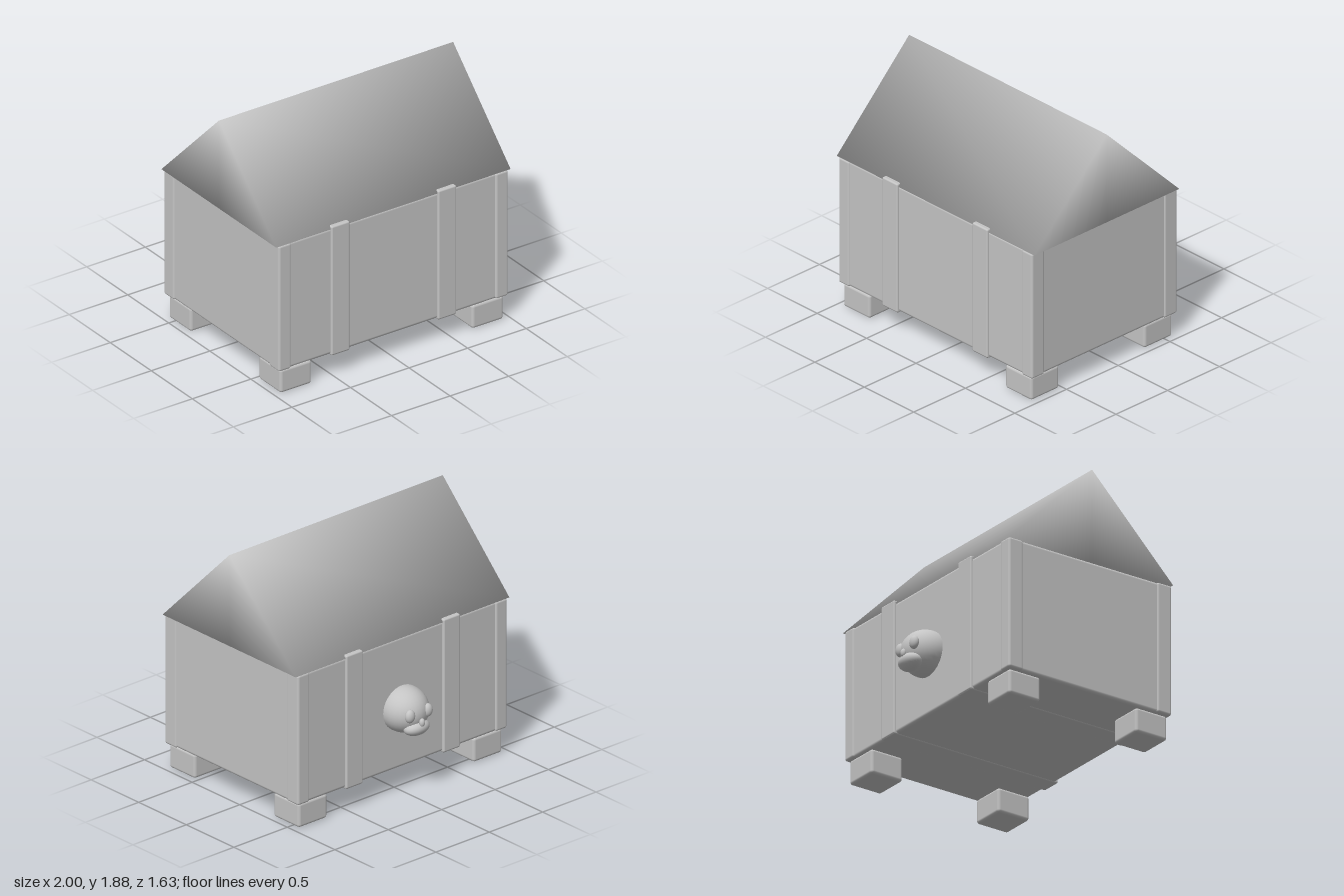
import * as THREE from 'three';
import { RoundedBoxGeometry } from 'three/addons/geometries/RoundedBoxGeometry.js';

export function createModel() {
  const model = new THREE.Group();
  model.name = 'littleHouse';
  const grey = new THREE.MeshStandardMaterial({ color: 0xc4c4c4 });
  grey.name = 'plain grey';

  const add = (name, geometry, parent = model) => {
    const mesh = new THREE.Mesh(geometry, grey);
    mesh.name = name;
    parent.add(mesh);
    return mesh;
  };
  // Rounded box given by its limits on each axis
  const block = (name, [x0, x1], [y0, y1], [z0, z1], r) => {
    const mesh = add(name, new RoundedBoxGeometry(x1 - x0, y1 - y0, z1 - z0, 3, r));
    mesh.position.set((x0 + x1) / 2, (y0 + y1) / 2, (z0 + z1) / 2);
    return mesh;
  };
  const ball = (name, parent, [x, y, z], [rx, ry, rz]) => {
    const mesh = add(name, new THREE.SphereGeometry(1, 28, 18), parent);
    mesh.position.set(x, y, z);
    mesh.scale.set(rx, ry, rz);
    return mesh;
  };

  // Body
  block('body', [-0.97, 0.97], [0.185, 1.19], [-0.582, 0.803], 0.025);

  // Corner posts and feet
  for (const s of [-1, 1]) {
    const side = (a, b) => (s > 0 ? [a, b] : [-b, -a]);
    for (const [post, foot] of [[[0.69, 0.815], [0.525, 0.795]], [[-0.592, -0.467], [-0.57, -0.3]]]) {
      block('cornerPost', side(0.872, 0.98), [0.187, 1.188], post, 0.018);
      block('foot', side(0.685, 0.953), [0, 0.187], foot, 0.022);
    }
    // Straps wrapping the front, back and underside
    block('frontStrap', side(0.378, 0.533), [0.182, 1.207], [0.76, 0.82], 0.012);
    block('backStrap', side(0.378, 0.533), [0.182, 1.207], [-0.6, -0.54], 0.012);
    block('bottomStrap', side(0.378, 0.533), [0.178, 0.21], [-0.597, 0.817], 0.012);
  }

  // Gabled roof: a closed prism with softly shared normals
  const profile = [ // z, y, then the averaged normal
    [0.81, 1.185, 0.54, -0.33, 0.77],
    [0.11, 1.885, 0.58, 0.82, 0],
    [-0.59, 1.185, 0.54, -0.33, -0.77],
    [0.11, 1.185, 0.71, -0.71, 0],
  ];
  const positions = [], normals = [];
  for (const s of [1, -1]) {
    for (const [z, y, nx, ny, nz] of profile) {
      positions.push(s, y, z);
      normals.push(s * nx, ny, nz);
    }
  }
  const index = [0, 3, 1, 3, 2, 1, 4, 5, 7, 7, 5, 6];
  for (let i = 0; i < 4; i++) {
    const j = (i + 1) % 4;
    index.push(i, j, j + 4, i, j + 4, i + 4);
  }
  const roof = new THREE.BufferGeometry();
  roof.setAttribute('position', new THREE.Float32BufferAttribute(positions, 3));
  roof.setAttribute('normal', new THREE.Float32BufferAttribute(normals, 3));
  roof.setIndex(index);
  add('roof', roof);

  // Small animal head looking out of the back wall
  const head = new THREE.Group();
  head.name = 'animalHead';
  model.add(head);
  ball('skull', head, [0, 0.645, -0.6], [0.177, 0.17, 0.188]);
  ball('muzzle', head, [0, 0.545, -0.735], [0.105, 0.058, 0.075]).rotation.x = 0.25;
  ball('nose', head, [0, 0.6, -0.795], [0.022, 0.032, 0.02]);
  for (const s of [-1, 1]) {
    ball('eye', head, [s * 0.082, 0.66, -0.76], [0.04, 0.05, 0.032]);
  }
  return model;
}
